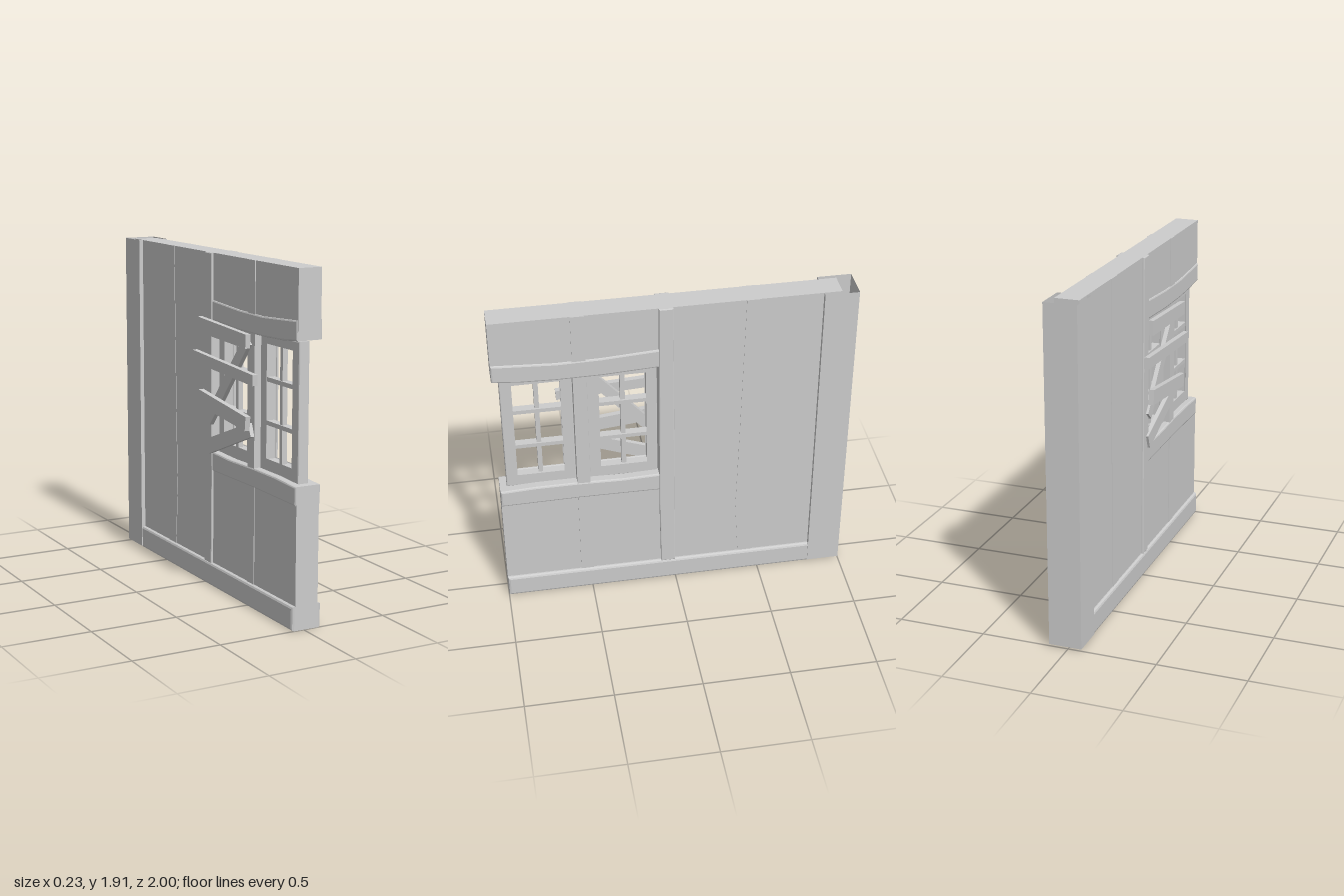
import * as THREE from 'three';

export function createModel() {
  const group = new THREE.Group();
  const plaster = new THREE.MeshStandardMaterial({ color: 0xcccccc, side: THREE.DoubleSide });
  plaster.name = 'plainGrey';

  const add = (name, geometry) => {
    const mesh = new THREE.Mesh(geometry, plaster);
    mesh.name = name;
    group.add(mesh);
    return mesh;
  };

  // Outline in (z, y), extruded across the wall from x0 to x1
  const slab = (name, points, x0, x1, bevel = 0, hole = null) => {
    const toVec = (p) => new THREE.Vector2(-p[0], p[1]);
    const shape = new THREE.Shape(points.map(toVec));
    if (hole) shape.holes.push(new THREE.Path(hole.map(toVec)));
    const geo = new THREE.ExtrudeGeometry(shape, {
      depth: x1 - x0 - 2 * bevel, bevelEnabled: bevel > 0, bevelThickness: bevel,
      bevelSize: bevel, bevelOffset: -bevel, bevelSegments: 2,
    });
    geo.rotateY(Math.PI / 2).translate(x0 + bevel, 0, 0);
    return add(name, geo);
  };
  const rect = (z0, z1, y0, y1) => [[z0, y0], [z1, y0], [z1, y1], [z0, y1]];

  const TOP = 1.912;

  // Wall panel with the window bay left open at its front end
  slab('wallPanel', [
    [-0.91, 0.02], [1, 0.02], [1, 0.75], [0.05, 0.75],
    [0.05, 1.56], [1, 1.56], [1, TOP], [-0.91, TOP],
  ], -0.053, 0.084);

  // Horizontal timbers
  slab('sillBeam', rect(-0.9, 1, 0, 0.135), -0.072, 0.105, 0.014);
  slab('lowerRail', [
    [1, 0.675], [0.55, 0.68], [0.07, 0.675], [0.07, 0.79], [0.3, 0.783], [0.55, 0.79], [0.8, 0.79], [1, 0.78],
  ], -0.06, 0.093, 0.01);
  slab('headRail', [
    [1, 1.54], [0.85, 1.525], [0.65, 1.518], [0.4, 1.52], [0.07, 1.537],
    [0.07, 1.652], [0.4, 1.632], [0.65, 1.628], [1, 1.648],
  ], -0.06, 0.093, 0.01);

  // Upright timbers
  slab('middleStud', rect(0.488, 0.563, 0.1, TOP), -0.057, 0.09);
  slab('bayStud', [
    [0.002, 0.13], [0.085, 0.13], [0.093, 0.6], [0.092, 1.2], [0.09, TOP], [0.012, TOP], [0.008, 1.3], [0.004, 0.7],
  ], -0.066, 0.1, 0.005);
  slab('bowedBatten', [
    [-0.465, 0.13], [-0.38, 0.13], [-0.358, 0.48], [-0.368, 0.9], [-0.378, 1.4], [-0.388, TOP], [-0.468, TOP],
    [-0.476, 1.4],
  ], -0.056, 0.087);

  // Corner post, a sleeve open at both ends
  const post = new THREE.BoxGeometry(0.186, TOP - 0.01, 0.19);
  const idx = Array.from(post.index.array);
  post.setIndex([...idx.slice(0, 12), ...idx.slice(24)]);
  post.clearGroups();
  add('cornerPost', post).position.set(0.016, (TOP + 0.01) / 2, -0.905);

  // Two windows, each with a frame, one upright bar and two cross bars
  [
    { outer: [0.563, 0.96], inner: [0.622, 0.9], bar: 0.761 },
    { outer: [0.095, 0.488], inner: [0.15, 0.425], bar: 0.285 },
  ].forEach(({ outer, inner, bar }) => {
    slab('windowFrame', rect(...outer, 0.78, 1.53), -0.02, 0.042, 0.006, rect(...inner, 0.848, 1.482));
    slab('windowUprightBar', rect(bar - 0.013, bar + 0.013, 0.83, 1.5), -0.008, 0.022);
    for (const y of [1.048, 1.284]) {
      slab('windowCrossBar', rect(inner[0] - 0.02, inner[1] + 0.02, y - 0.012, y + 0.012), -0.015, 0.032);
    }
  });

  // Boards nailed over the rear window: from (z, y) to (z, y), width and x range
  const board = (za, ya, zb, yb, width, x0, x1) => {
    const len = Math.hypot(zb - za, yb - ya);
    const oz = (-(yb - ya) / len) * width / 2, oy = ((zb - za) / len) * width / 2;
    slab('nailedBoard', [
      [za - oz, ya - oy], [zb - oz * 0.9, yb - oy * 0.9], [zb + oz * 0.9, yb + oy * 0.9], [za + oz, ya + oy],
    ], x0, x1);
  };
  board(0.02, 1.512, 0.57, 1.485, 0.085, -0.118, -0.088);
  board(-0.045, 1.325, 0.645, 1.287, 0.066, -0.116, -0.086);
  board(0.03, 1.1, 0.57, 1.04, 0.088, -0.118, -0.088);
  board(0.07, 0.97, 0.51, 1.48, 0.07, -0.08, -0.055);
  board(0.06, 0.815, 0.55, 1.0, 0.085, -0.08, -0.055);

  return group;
}
